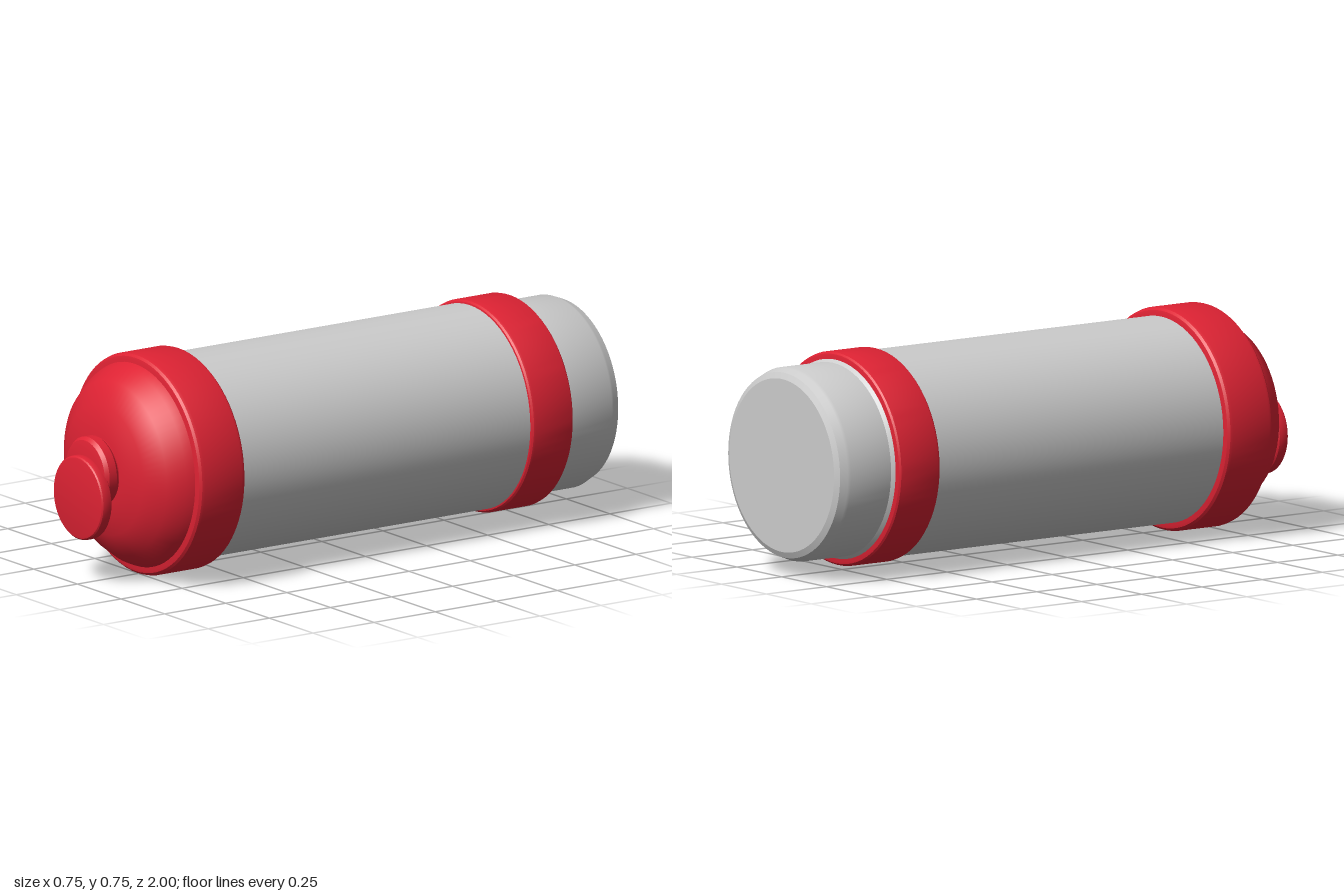
import * as THREE from 'three';
import { toCreasedNormals } from 'three/addons/utils/BufferGeometryUtils.js';

const AXIS_Y = 0.378;

export function createModel() {
  const model = new THREE.Group();
  const red = new THREE.MeshStandardMaterial({ color: 0xdd2233 });
  const grey = new THREE.MeshStandardMaterial({ color: 0xcccccc });

  // Turned part lying along z; profile is [radius, z] from back to front
  function turned(name, profile, material, y = AXIS_Y, segments = 72) {
    const points = profile.map(([r, z]) => new THREE.Vector2(r, z));
    const geometry = new THREE.LatheGeometry(points, segments).rotateX(Math.PI / 2);
    const mesh = new THREE.Mesh(toCreasedNormals(geometry, 0.4), material);
    mesh.name = name;
    mesh.position.y = y;
    model.add(mesh);
  }

  // Closed cylinder profile with softened rims
  function rounded(r, back, front, b) {
    const p = [[0, back]];
    for (const i of [0, 1, 2, 3]) {
      const a = (i / 3) * Math.PI / 2;
      p.push([r - b + b * Math.sin(a), back + b - b * Math.cos(a)]);
    }
    for (const i of [0, 1, 2, 3]) {
      const a = (i / 3) * Math.PI / 2;
      p.push([r - b + b * Math.cos(a), front - b + b * Math.sin(a)]);
    }
    p.push([0, front]);
    return p;
  }

  // Main tube, with a small shoulder showing behind the rear band
  turned('body', [[0, -0.79], [0.325, -0.79], [0.337, -0.775], [0.347, -0.76],
    [0.347, 0.6], [0, 0.6]], grey);

  // Rear plug with a softened end
  turned('endCap', [[0, -1], [0.292, -1], [0.312, -0.99], [0.322, -0.965],
    [0.326, -0.955], [0.326, -0.77], [0, -0.77]], grey);

  // Bands around both ends
  turned('rearBand', rounded(0.36, -0.777, -0.605, 0.015), red);
  turned('frontBand', rounded(0.376, 0.575, 0.765, 0.02), red);

  // Nose dome
  turned('dome', [[0, 0.74], [0.346, 0.74], [0.346, 0.765], [0.334, 0.793],
    [0.295, 0.845], [0.22, 0.892], [0.125, 0.911], [0, 0.914]], red);

  // Neck and the off-centre button in front of it
  turned('neck', [[0, 0.88], [0.115, 0.88], [0.115, 0.915], [0.122, 0.925],
    [0.122, 0.955], [0.112, 0.968], [0.09, 0.973], [0, 0.975]], red, AXIS_Y, 48);
  turned('button', rounded(0.143, 0.957, 1, 0.011), red, 0.297, 48);

  return model;
}
